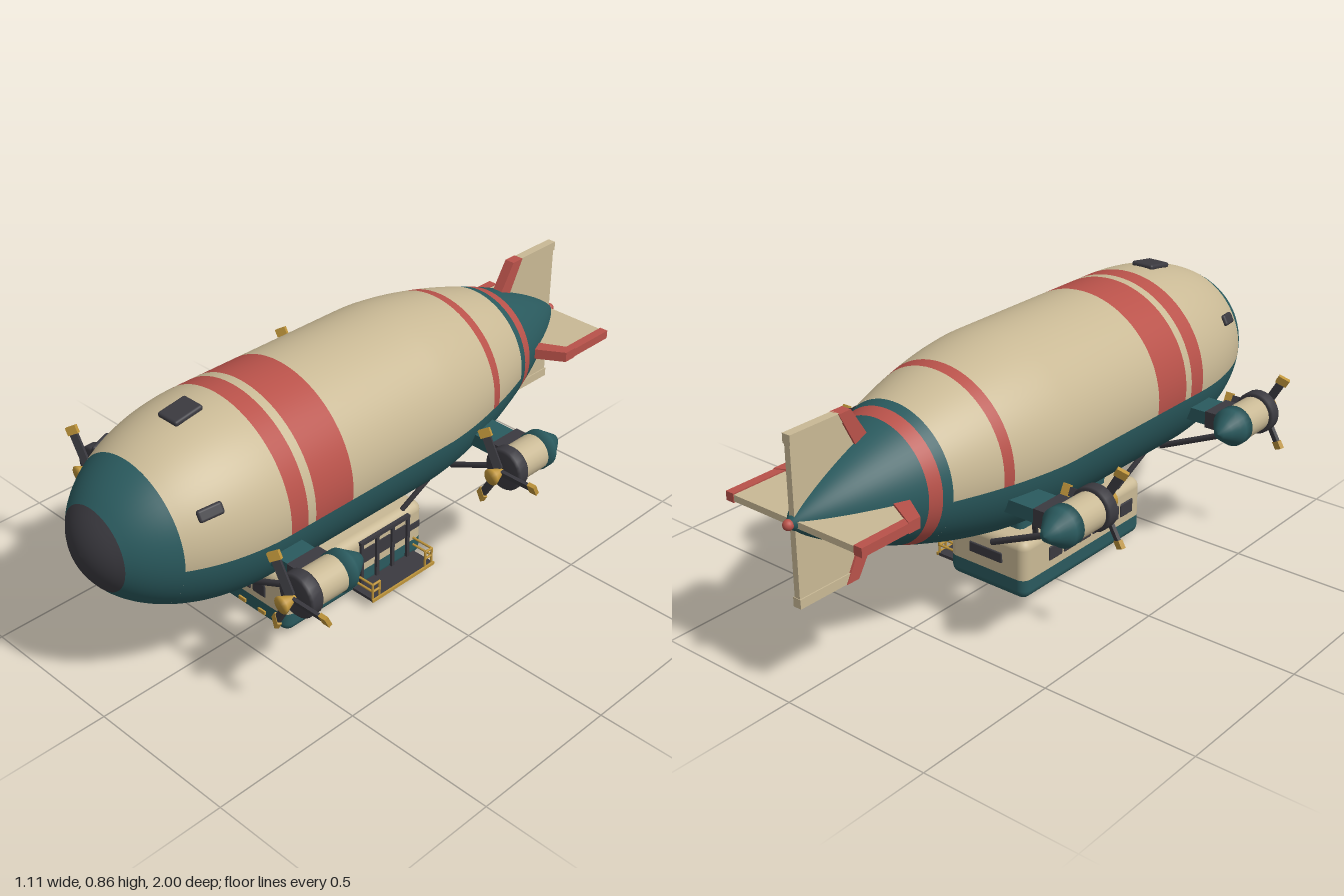
import * as THREE from 'three';
import { RoundedBoxGeometry } from 'three/addons/geometries/RoundedBoxGeometry.js';

const paint = (name, color) => {
  const m = new THREE.MeshStandardMaterial({ color });
  m.name = name;
  return m;
};

export function createModel() {
  const teal = paint('teal', 0x2a5a5e), cream = paint('cream', 0xc9b995), red = paint('red', 0xb9524a);
  const dark = paint('charcoal', 0x3b3a40), gold = paint('gold', 0xbf953b);
  const model = new THREE.Group();
  model.name = 'airship';
  model.position.x = -0.029;

  const add = (parent, name, geo, mat, x = 0, y = 0, z = 0) => {
    const m = new THREE.Mesh(geo, mat);
    m.name = name;
    m.position.set(x, y, z);
    parent.add(m);
    return m;
  };
  const box = (parent, name, mat, w, h, d, x, y, z) =>
    add(parent, name, new THREE.BoxGeometry(w, h, d), mat, x, y, z);
  const rod = (parent, name, mat, a, b, r) => {
    const p = new THREE.Vector3(...a), q = new THREE.Vector3(...b);
    const m = add(parent, name, new THREE.CylinderGeometry(r, r, p.distanceTo(q), 8), mat);
    m.position.copy(p).lerp(q, 0.5);
    m.quaternion.setFromUnitVectors(new THREE.Vector3(0, 1, 0), q.sub(p).normalize());
    return m;
  };
  // Profile of [radius, z] turned around the z axis; angle 0 points down
  const turned = (pts, seg = 24, start = 0, length = Math.PI * 2) =>
    new THREE.LatheGeometry(pts.map(p => new THREE.Vector2(...p)), seg, start, length).rotateX(Math.PI / 2);

  // Hull: elliptical nose, straight middle, tapering tail
  const HY = 0.553, TAIL = -0.99;
  const hullR = z => {
    if (z > 0.5) return 0.3 * Math.sqrt(Math.max(0, 1 - ((z - 0.5) / 0.5) ** 2));
    if (z > -0.15) return 0.3;
    return 0.3 * Math.pow(Math.max(0, 1 - ((-0.15 - z) / (-0.15 - TAIL)) ** 1.6), 0.8);
  };
  const hull = new THREE.Group();
  hull.name = 'hull';
  hull.position.y = HY;
  model.add(hull);
  const bands = [ // from z, to z, upper paint, lower paint
    [TAIL, -0.65, teal, teal], [-0.65, -0.61, red, red], [-0.61, -0.58, teal, teal],
    [-0.58, -0.42, cream, teal], [-0.42, -0.385, red, teal], [-0.385, 0.265, cream, teal],
    [0.265, 0.412, red, teal], [0.412, 0.442, cream, teal], [0.442, 0.505, red, teal],
    [0.505, 0.825, cream, teal], [0.825, 0.95, teal, teal], [0.95, 1, dark, dark],
  ];
  const side = Math.PI / 2 - 0.11;
  for (const [z0, z1, up, low] of bands) {
    const n = 3 + Math.ceil((z1 - z0) / 0.025), pts = [];
    for (let i = 0; i <= n; i++) {
      let t = i / n;
      if (z1 === 1) t = 1 - (1 - t) ** 2;
      if (z0 === TAIL) t = t ** 2;
      const z = z0 + (z1 - z0) * t;
      pts.push([hullR(z), z]);
    }
    if (up === low) add(hull, 'hullBand', turned(pts, 64), up);
    else {
      add(hull, 'upperHullBand', turned(pts, 40, side, Math.PI * 2 - 2 * side), up);
      add(hull, 'lowerHullBand', turned(pts, 32, -side, 2 * side), low);
    }
  }
  add(hull, 'tailBall', new THREE.SphereGeometry(0.016, 16, 12), red, 0, 0, -0.984);

  // Hatch on top and a porthole on each shoulder, tilted with the hull
  for (const [angle, z, w, l] of [[0, 0.628, 0.08, 0.1], [1.07, 0.735, 0.036, 0.075], [-1.07, 0.735, 0.036, 0.075]]) {
    const holder = new THREE.Group();
    holder.name = 'hatch';
    holder.rotation.z = -angle;
    hull.add(holder);
    const m = add(holder, 'hatchCover', new RoundedBoxGeometry(w, 0.018, l, 3, 0.008), dark, 0, hullR(z) + 0.002, z);
    m.rotation.x = Math.atan2(hullR(z - 0.02) - hullR(z + 0.02), 0.04);
  }

  // Tail fins: panel, slanted leading edge and tip rail
  const plate = (pts, thick) => new THREE.ExtrudeGeometry(
    new THREE.Shape(pts.map(p => new THREE.Vector2(...p))),
    { depth: thick, bevelEnabled: false }).translate(0, 0, -thick / 2).rotateY(-Math.PI / 2);
  for (let i = 0; i < 4; i++) {
    const fin = new THREE.Group();
    fin.name = i % 2 ? 'horizontalFin' : 'verticalFin';
    fin.rotation.z = i * Math.PI / 2;
    hull.add(fin);
    add(fin, 'finPanel', plate([[-0.97, 0.01], [-0.72, 0.01], [-0.72, 0.15], [-0.785, 0.235], [-0.97, 0.235]], 0.02), cream);
    add(fin, 'finLeadingEdge', plate([[-0.735, 0.13], [-0.69, 0.15], [-0.755, 0.255], [-0.8, 0.255]], 0.034), red);
    add(fin, 'finTipRail', plate([[-0.972, 0.226], [-0.78, 0.226], [-0.795, 0.255], [-0.972, 0.255]], 0.028), i % 2 ? red : cream);
  }

  // Four engine pods on pylons
  for (const s of [-1, 1]) for (const z of [-0.32, 0.535]) {
    const pod = new THREE.Group();
    pod.name = 'enginePod';
    pod.position.set(s * 0.442, 0.455, z);
    model.add(pod);
    add(pod, 'podTail', turned([[0, -0.155], [0.018, -0.148], [0.034, -0.125], [0.05, -0.1], [0.061, -0.085], [0.061, -0.052], [0, -0.052]]), teal);
    add(pod, 'podBody', turned([[0.057, -0.056], [0.057, 0.055]]), cream);
    add(pod, 'podCollar', turned([[0, 0.05], [0.062, 0.05], [0.068, 0.057], [0.068, 0.09], [0.06, 0.097], [0, 0.097]]), dark);
    add(pod, 'spinner', turned([[0.006, 0.095], [0.027, 0.147], [0, 0.148]]), gold);
    for (let i = 0; i < 3; i++) {
      const blade = new THREE.Group();
      blade.name = 'propellerBlade';
      blade.rotation.z = i * Math.PI * 2 / 3;
      blade.position.z = 0.108;
      pod.add(blade);
      box(blade, 'bladeArm', dark, 0.105, 0.026, 0.01, 0.063, 0, 0).rotation.x = 0.45;
      box(blade, 'bladeTip', gold, 0.026, 0.037, 0.013, 0.127, 0, 0).rotation.x = 0.45;
    }
    box(pod, 'pylon', teal, 0.13, 0.043, 0.105, -s * 0.14, 0, -0.023);
    box(pod, 'pylonMount', dark, 0.05, 0.054, 0.118, -s * 0.07, 0, -0.023);
    const zs = z - 0.02;
    rod(model, 'podStrut', dark, [s * 0.415, 0.405, zs], [s * 0.145, 0.283, zs], 0.01);
  }

  // Gondola: one rounded body split into two colours at the paint line
  const gondola = new THREE.Group();
  gondola.name = 'gondola';
  model.add(gondola);
  const SPLIT = 0.085;
  const half = upper => {
    const g = new RoundedBoxGeometry(0.304, 0.198, 0.6, 5, 0.03).translate(0, 0.116, 0.1);
    const p = g.attributes.position;
    for (let i = 0; i < p.count; i++)
      p.setY(i, upper ? Math.max(p.getY(i), SPLIT) : Math.min(p.getY(i), SPLIT));
    return g;
  };
  add(gondola, 'gondolaUpper', half(true), cream);
  add(gondola, 'gondolaLower', half(false), teal);
  add(gondola, 'neck', new RoundedBoxGeometry(0.17, 0.12, 0.435, 3, 0.02), teal, 0, 0.255, 0.083);
  for (const s of [-1, 1]) {
    box(gondola, 'skid', dark, 0.022, 0.022, 0.435, s * 0.085, 0.011, 0.083);
    add(gondola, 'frontWindow', new RoundedBoxGeometry(0.055, 0.047, 0.009, 2, 0.004), dark, s * 0.033, 0.133, 0.4);
    box(gondola, 'headlight', gold, 0.03, 0.013, 0.012, s * 0.044, 0.05, 0.4);
    rod(gondola, 'gondolaStrut', dark, [s * 0.13, 0.205, 0.285], [s * 0.185, 0.33, 0.37], 0.009);
    rod(gondola, 'gondolaStrut', dark, [s * 0.13, 0.205, -0.12], [s * 0.185, 0.33, -0.195], 0.009);
    for (let i = 0; i < (s > 0 ? 3 : 6); i++)
      add(gondola, 'sideWindow', new RoundedBoxGeometry(0.009, 0.047, 0.063, 2, 0.004), dark, s * 0.152, 0.135, 0.317 - i * 0.0735);
  }
  add(gondola, 'rearWindow', new RoundedBoxGeometry(0.13, 0.035, 0.009, 2, 0.004), dark, 0, 0.14, -0.2);
  box(gondola, 'rearSideVent', dark, 0.008, 0.022, 0.045, 0.152, 0.14, -0.158);

  // Doorway with posts, and the balcony outside it
  box(gondola, 'doorHeader', dark, 0.018, 0.012, 0.22, 0.152, 0.194, -0.02);
  for (let i = 0; i < 4; i++) {
    box(gondola, 'doorPost', dark, 0.018, 0.155, 0.012, 0.152, 0.117, 0.084 - i * 0.0693);
    if (i < 3) box(gondola, 'doorPane', dark, 0.008, 0.05, 0.05, 0.152, 0.14, 0.049 - i * 0.0693);
  }
  const balcony = new THREE.Group();
  balcony.name = 'balcony';
  gondola.add(balcony);
  box(balcony, 'balconyFloor', dark, 0.09, 0.01, 0.275, 0.192, 0.034, -0.022);
  box(balcony, 'balconyTrim', gold, 0.006, 0.01, 0.28, 0.237, 0.035, -0.022);
  for (const z of [0.112, -0.156]) {
    const zin = z + (z > 0 ? -0.03 : 0.03);
    rod(balcony, 'balconyBrace', dark, [0.14, 0.018, zin], [0.232, 0.029, zin], 0.006);
    rod(balcony, 'railPost', gold, [0.232, 0.035, z], [0.232, 0.094, z], 0.004);
    rod(balcony, 'railPost', gold, [0.232, 0.035, zin], [0.232, 0.094, zin], 0.004);
    for (const y of [0.066, 0.092]) {
      rod(balcony, 'endRail', gold, [0.15, y, z], [0.232, y, z], 0.004);
      rod(balcony, 'returnRail', gold, [0.232, y, z], [0.232, y, zin], 0.004);
    }
  }
  return model;
}
